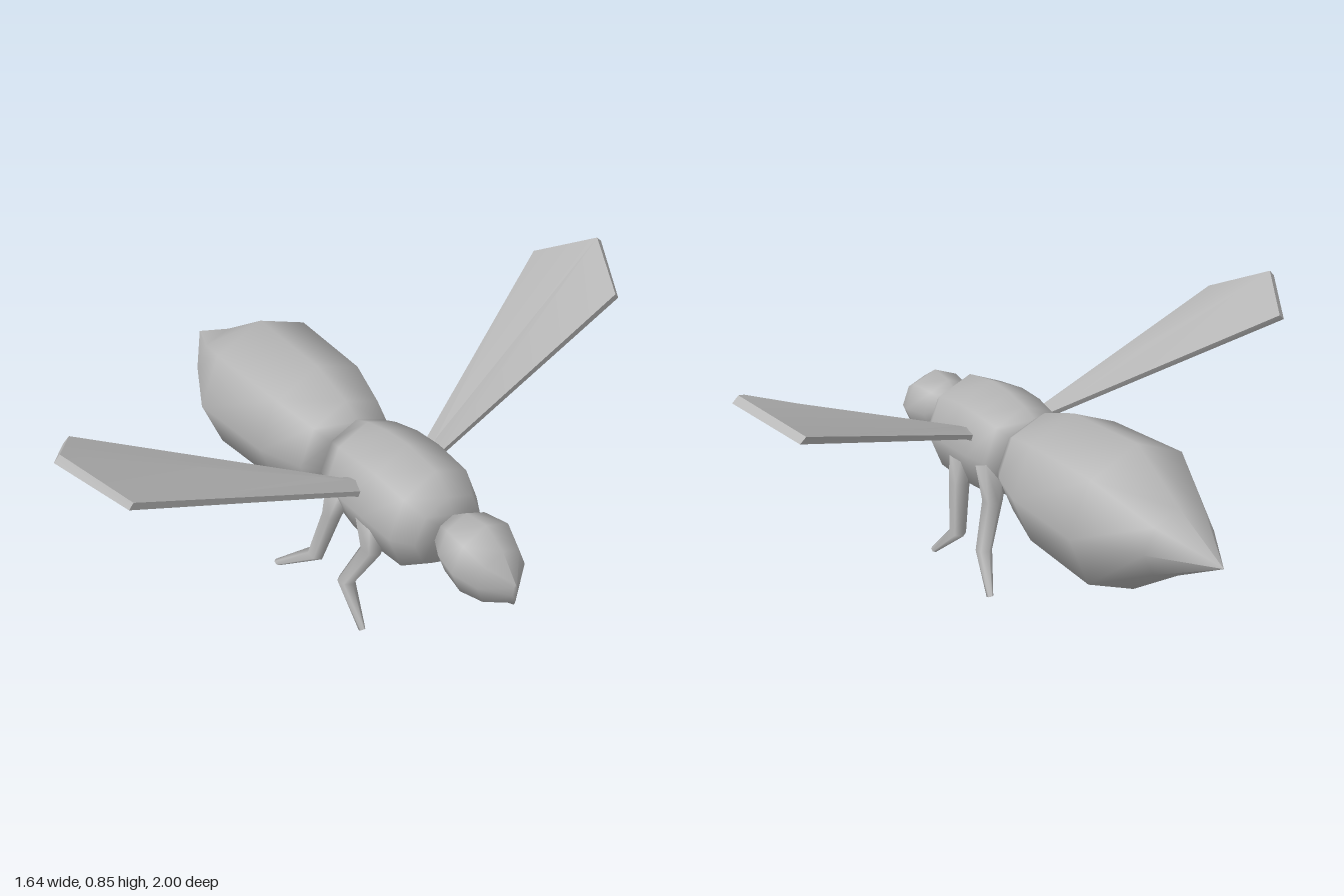
import * as THREE from 'three';
import { toCreasedNormals } from 'three/addons/utils/BufferGeometryUtils.js';

// Skins a list of equal-sized rings (each wound anticlockwise about the path) and closes both ends.
function loft(rings) {
  const n = rings[0].length, last = (rings.length - 1) * n, index = [];
  for (let i = 0; i < rings.length - 1; i++) {
    for (let j = 0; j < n; j++) {
      const a = i * n + j, b = i * n + (j + 1) % n;
      index.push(a, b, a + n, b, b + n, a + n);
    }
  }
  for (let k = 0; k < n / 2 - 1; k++) {
    const a = k, b = k + 1, c = n - 2 - k, d = n - 1 - k;
    index.push(a, d, b, b, d, c);
    index.push(last + a, last + b, last + d, last + b, last + c, last + d);
  }
  const geometry = new THREE.BufferGeometry();
  geometry.setAttribute('position', new THREE.Float32BufferAttribute(rings.flat(2), 3));
  geometry.setIndex(index);
  geometry.computeVertexNormals();
  return geometry;
}

// Flips rings to the other side, keeping them facing outwards.
const mirror = (rings) => rings.map((r) => r.map(([x, y, z]) => [x, y, -z]).reverse());

// Eight-sided upright ring for the body: [x, centre y, half height, half width].
const bodyRing = ([x, y, ry, rz]) => Array.from({ length: 8 }, (_, k) => {
  const a = k * Math.PI / 4;
  return [x, y + ry * Math.cos(a), rz * Math.sin(a)];
});

// Six-sided level ring for a leg: [x, y, z, half length, half width, tilt].
const legRing = ([x, y, z, rx, rz, tilt = 0]) => Array.from({ length: 6 }, (_, k) => {
  const a = k * Math.PI / 3;
  return [x + rx * Math.cos(a), y + tilt * Math.cos(a), z + rz * Math.sin(a)];
});

export function createModel() {
  const group = new THREE.Group();
  const grey = new THREE.MeshStandardMaterial({ color: 0xb4b4b4 });
  grey.name = 'grey';

  const add = (name, geometry) => {
    const mesh = new THREE.Mesh(geometry, grey);
    mesh.name = name;
    group.add(mesh);
  };

  // Body segments, from tail to head
  const body = {
    abdomen: [
      [-0.82, 0.4, 0, 0], [-0.63, 0.4, 0.105, 0.13], [-0.43, 0.398, 0.238, 0.24],
      [-0.12, 0.4, 0.225, 0.225], [0.03, 0.4, 0.175, 0.175], [0.09, 0.4, 0.132, 0.135],
    ],
    thorax: [
      [0.08, 0.4, 0.135, 0.135], [0.14, 0.4, 0.16, 0.155], [0.23, 0.4, 0.182, 0.17],
      [0.33, 0.4, 0.19, 0.172], [0.46, 0.395, 0.175, 0.168],
      [0.525, 0.395, 0.12, 0.125], [0.545, 0.4, 0.065, 0.07],
    ],
    head: [
      [0.535, 0.4, 0.055, 0.06], [0.6, 0.4, 0.105, 0.1], [0.685, 0.398, 0.118, 0.12],
      [0.76, 0.38, 0.09, 0.09], [0.82, 0.353, 0.038, 0.008],
    ],
  };
  for (const [name, rings] of Object.entries(body)) add(name, loft(rings.map(bodyRing)));

  // Wings: a thin folded blade that widens to a three-cornered tip
  const wing = [
    [[0.3, 0.455, 0.13], [0.265, 0.475, 0.13], [0.225, 0.465, 0.13],
      [0.225, 0.44, 0.13], [0.265, 0.435, 0.13], [0.3, 0.43, 0.13]],
    [[0.295, 0.47, 0.17], [0.262, 0.492, 0.165], [0.222, 0.475, 0.165],
      [0.222, 0.46, 0.17], [0.262, 0.458, 0.17], [0.295, 0.455, 0.175]],
    [[0.28, 0.76, 0.88], [0.085, 0.845, 0.98], [-0.088, 0.755, 0.87],
      [-0.088, 0.738, 0.89], [0.085, 0.826, 1], [0.28, 0.742, 0.895]],
  ];

  // Legs: hip, thigh, knee and foot
  const frontLeg = [
    [0.31, 0.4, 0.11, 0.08, 0.05], [0.335, 0.26, 0.13, 0.04, 0.032],
    [0.272, 0.115, 0.18, 0.033, 0.025, 0.005], [0.387, 0.007, 0.205, 0.01, 0.01, 0.007],
  ].map(legRing);
  const backLeg = [
    [0.17, 0.4, 0.11, 0.07, 0.05], [0.136, 0.27, 0.13, 0.036, 0.032],
    [0.115, 0.115, 0.18, 0.031, 0.025, -0.005], [-0.012, 0.021, 0.242, 0.012, 0.01, -0.005],
  ].map(legRing);

  // The head points to +x, so the -z side is the far one
  for (const [side, place] of [['near', (r) => r], ['far', mirror]]) {
    add(`${side}Wing`, toCreasedNormals(loft(place(wing)), 0.7));
    add(`${side}FrontLeg`, loft(place(frontLeg)));
    add(`${side}BackLeg`, loft(place(backLeg)));
  }
  return group;
}
